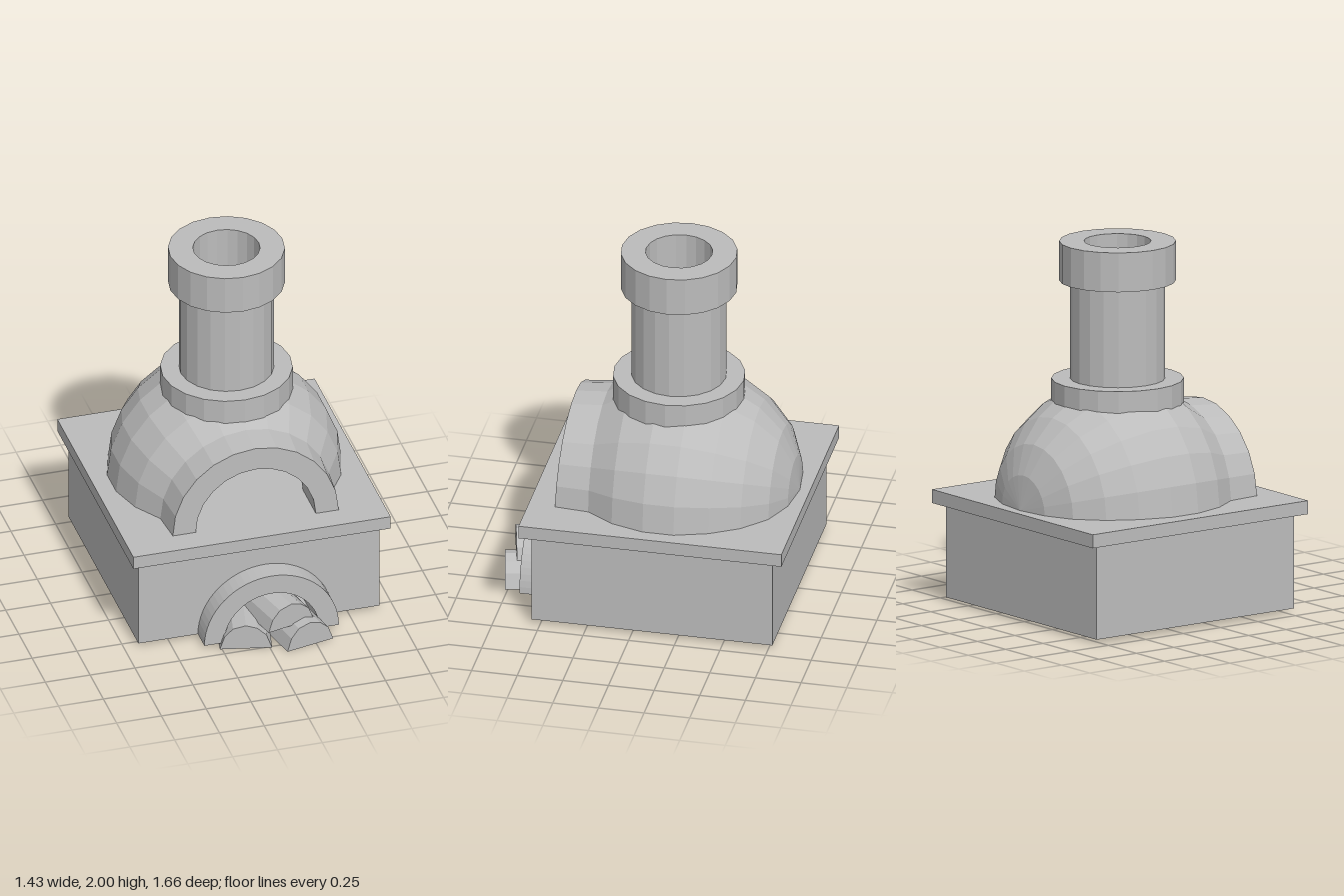
import * as THREE from 'three';

export function createModel() {
  const model = new THREE.Group();
  model.name = 'pizzaOven';
  const stone = new THREE.MeshStandardMaterial({ color: 0xbcbcbc, flatShading: true, side: THREE.DoubleSide });
  stone.name = 'grey stone';

  const add = (name, geometry, x = 0, y = 0, z = 0) => {
    const mesh = new THREE.Mesh(geometry, stone);
    mesh.name = name;
    mesh.position.set(x, y, z);
    model.add(mesh);
    return mesh;
  };
  const points = (list) => list.map(([x, y]) => new THREE.Vector2(x, y));
  const extrude = (shape, depth, curveSegments = 12) =>
    new THREE.ExtrudeGeometry(shape, { depth, bevelEnabled: false, curveSegments });
  const rect = (x0, y0, x1, y1) => new THREE.Shape(points([[x0, y0], [x1, y0], [x1, y1], [x0, y1]]));

  // Base block, with an arched wood store let into its front half
  const doorX = 0.035, doorR = 0.265;
  add('baseRear', new THREE.BoxGeometry(1.344, 0.504, 0.92), 0, 0.272, -0.31);
  const front = rect(-0.672, 0.02, 0.672, 0.524);
  const hole = new THREE.Path();
  hole.absarc(doorX, 0.025, doorR, 0, Math.PI, false);
  front.holes.push(hole);
  add('baseFront', extrude(front, 0.4), 0, 0, 0.15);

  // Raised arch around the wood store
  const arch = new THREE.Shape();
  arch.absarc(0, 0, 0.375, 0, Math.PI, false);
  arch.absarc(0, 0, doorR, Math.PI, 0, true);
  add('woodStoreArch', extrude(arch, 0.123, 16), doorX, 0.02, 0.55);

  // Overhanging worktop
  add('worktop', new THREE.BoxGeometry(1.435, 0.074, 1.44), 0, 0.573, -0.11);

  // Hollow dome with a round-arched mouth: half a turn around the z axis
  const dome = new THREE.LatheGeometry(points([
    [0, -0.775], [0.19, -0.75], [0.35, -0.68], [0.48, -0.555], [0.57, -0.4],
    [0.628, -0.22], [0.628, -0.05], [0.575, 0.13], [0.478, 0.28], [0.463, 0.465],
    [0.335, 0.465], [0.335, 0.22], [0.45, 0.08], [0.5, -0.07], [0.5, -0.21],
    [0.43, -0.4], [0.26, -0.58], [0, -0.65],
  ]), 12, Math.PI / 2, Math.PI);
  dome.rotateX(Math.PI / 2);
  // The mouth leans back slightly
  const p = dome.attributes.position;
  for (let i = 0; i < p.count; i++) {
    if (p.getZ(i) > 0.4) p.setZ(i, p.getZ(i) - 0.03 * p.getY(i));
  }
  add('dome', dome, 0.008, 0.608, 0);

  // Chimney: three stacked rings around one flue
  const ring = (name, radius, y0, y1) => add(name, new THREE.LatheGeometry(points([
    [0.18, y0], [radius, y0], [radius, y1], [0.18, y1], [0.18, y0],
  ]), 20), 0.015, 0, -0.115);
  ring('chimneyCollar', 0.355, 1.1, 1.25);
  ring('chimneyShaft', 0.255, 1.25, 1.785);
  ring('chimneyCap', 0.313, 1.785, 2);

  // Split logs: hollow half-round shells with closed ends
  const outline = [[-0.14, 0], [-0.115, 0.075], [-0.07, 0.125], [0, 0.143], [0.06, 0.125], [0.11, 0.08], [0.14, 0]];
  const length = 0.55;
  const log = (name, x, y, z, turn, height) => {
    const inner = outline.map(([a, b]) => [a * 0.94, b * 0.94]).reverse();
    const group = new THREE.Group();
    group.name = name;
    const shell = extrude(new THREE.Shape(points([...outline, ...inner])), length);
    shell.translate(0, 0, -length);
    const bark = new THREE.Mesh(shell, stone);
    bark.name = name + 'Bark';
    group.add(bark);
    for (const end of [0, -length]) {
      const cap = new THREE.Mesh(new THREE.ShapeGeometry(new THREE.Shape(points(outline))), stone);
      cap.name = name + 'End';
      cap.position.z = end;
      group.add(cap);
    }
    group.position.set(x, y, z);
    group.rotation.y = turn;
    group.scale.y = height;
    model.add(group);
  };
  log('leftLog', -0.125, 0, 0.73, -0.22, 1);
  log('rightLog', 0.215, 0, 0.795, 0.22, 1);
  log('topLog', 0.12, 0.115, 0.755, 0.25, 0.95);

  return model;
}
